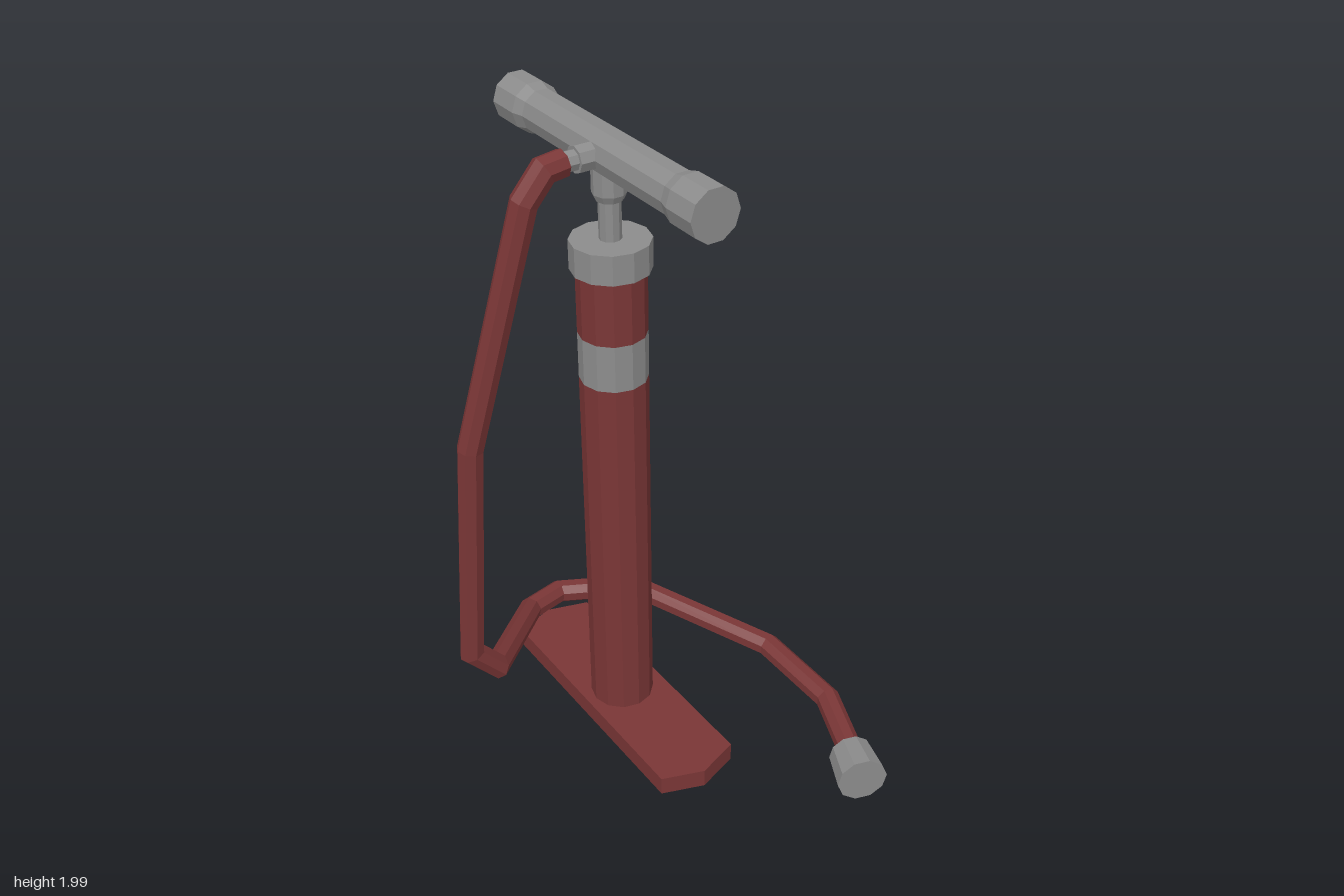
import * as THREE from 'three';

const red = new THREE.MeshStandardMaterial({ color: 0x7a3636 });
red.name = 'dark red';
const grey = new THREE.MeshStandardMaterial({ color: 0x8c8c8c });
grey.name = 'grey';

// Faceted mesh: unshared vertices give flat normals
function part(name, geometry, material, parent) {
  const g = geometry.index ? geometry.toNonIndexed() : geometry;
  g.computeVertexNormals();
  const mesh = new THREE.Mesh(g, material);
  mesh.name = name;
  parent.add(mesh);
  return mesh;
}

// Upright cylinder between two heights
function column(name, y0, y1, r0, r1, sides, material, parent) {
  const g = new THREE.CylinderGeometry(r1, r0, y1 - y0, sides);
  g.translate(0, (y0 + y1) / 2, 0);
  return part(name, g, material, parent);
}

// Cylinder between two points
function rod(name, a, b, ra, rb, sides, material, parent) {
  const dir = b.clone().sub(a);
  const g = new THREE.CylinderGeometry(rb, ra, dir.length(), sides);
  g.applyQuaternion(new THREE.Quaternion().setFromUnitVectors(new THREE.Vector3(0, 1, 0), dir.normalize()));
  g.translate((a.x + b.x) / 2, (a.y + b.y) / 2, (a.z + b.z) / 2);
  return part(name, g, material, parent);
}

// Straight-sided tube with mitred corners along a polyline
function mitredTube(points, radius, sides) {
  const dirs = points.slice(1).map((p, i) => p.clone().sub(points[i]).normalize());
  const last = points.length - 1;
  const u = new THREE.Vector3(0, 1, 0).cross(dirs[0]).normalize();
  const v = dirs[0].clone().cross(u);
  let ring = [];
  for (let j = 0; j < sides; j++) {
    const a = (j / sides) * Math.PI * 2;
    ring.push(points[0].clone().addScaledVector(u, radius * Math.cos(a)).addScaledVector(v, radius * Math.sin(a)));
  }
  const pos = [];
  const tri = (...ps) => ps.forEach((p) => pos.push(p.x, p.y, p.z));
  for (let j = 0; j < sides; j++) tri(points[0], ring[(j + 1) % sides], ring[j]);
  for (let i = 1; i <= last; i++) {
    const d = dirs[i - 1];
    const n = d.clone().add(dirs[Math.min(i, last - 1)]).normalize();
    // slide the ring along the segment onto the mitre plane
    const next = ring.map((p) => p.clone().addScaledVector(d, points[i].clone().sub(p).dot(n) / d.dot(n)));
    for (let j = 0; j < sides; j++) {
      const k = (j + 1) % sides;
      tri(ring[j], ring[k], next[k]);
      tri(ring[j], next[k], next[j]);
    }
    ring = next;
  }
  for (let j = 0; j < sides; j++) tri(points[last], ring[j], ring[(j + 1) % sides]);
  const g = new THREE.BufferGeometry();
  g.setAttribute('position', new THREE.Float32BufferAttribute(pos, 3));
  return g;
}

const V = (x, y, z) => new THREE.Vector3(x, y, z);

export function createModel() {
  const model = new THREE.Group();
  model.name = 'floorPump';

  // Pump body, turned a little about its own axis
  const pump = new THREE.Group();
  pump.name = 'pump';
  pump.position.set(-0.165, 0, 0.055);
  pump.rotation.y = -0.333;
  model.add(pump);

  // Foot plate with pointed ends
  const outline = [[-0.42, -0.13], [0.405, -0.13], [0.45, 0], [0.405, 0.125], [-0.42, 0.125], [-0.46, 0]];
  const foot = new THREE.ExtrudeGeometry(
    new THREE.Shape(outline.map(([x, z]) => new THREE.Vector2(x, z))),
    { depth: 0.06, bevelEnabled: false });
  foot.rotateX(Math.PI / 2);
  foot.translate(0, 0.125, 0);
  part('footPlate', foot, red, pump);

  // Barrel with a band, cap, and plunger rod
  column('lowerBarrel', 0.12, 1.275, 0.097, 0.097, 12, red, pump);
  column('barrelBand', 1.275, 1.415, 0.097, 0.097, 12, grey, pump);
  column('upperBarrel', 1.415, 1.61, 0.097, 0.097, 12, red, pump);
  column('barrelCap', 1.605, 1.69, 0.112, 0.112, 12, grey, pump);
  column('plungerRod', 1.68, 1.83, 0.031, 0.031, 10, grey, pump);
  column('collarTaper', 1.80, 1.82, 0.038, 0.047, 10, grey, pump);
  column('collar', 1.82, 1.9, 0.047, 0.047, 10, grey, pump);

  // Handle with thicker grip ends
  const profile = [[0, -0.462], [0.072, -0.462], [0.072, -0.36], [0.062, -0.325],
    [0.062, 0.325], [0.072, 0.36], [0.072, 0.462], [0, 0.462]];
  const handle = new THREE.LatheGeometry(profile.map(([r, y]) => new THREE.Vector2(r, y)), 10);
  handle.rotateZ(Math.PI / 2);
  handle.translate(0, 1.93, 0);
  part('handle', handle, grey, pump);

  // Hose outlet at the front of the handle
  rod('hoseOutlet', V(0, 1.93, 0.04), V(0, 1.93, 0.15), 0.028, 0.028, 8, grey, pump);
  rod('outletCollar', V(0, 1.93, 0.05), V(0, 1.93, 0.1), 0.037, 0.037, 8, grey, pump);

  // Hose, down to the floor and round the back
  const path = [
    V(-0.21, 1.93, 0.18), V(-0.225, 1.925, 0.235), V(-0.252, 1.85, 0.285),
    V(-0.39, 1.13, 0.408), V(-0.455, 0.37, 0.412), V(-0.43, 0.275, 0.335),
    V(-0.635, 0.145, -0.05), V(-0.627, 0.135, -0.185), V(-0.46, 0.11, -0.385),
    V(0.083, 0.1, -0.41), V(0.37, 0.09, -0.317), V(0.56, 0.08, -0.155),
  ];
  part('hose', mitredTube(path, 0.038, 8), red, model);

  // Nozzle at the free end
  rod('nozzle', V(0.548, 0.08, -0.16), V(0.638, 0.08, -0.083), 0.066, 0.077, 10, grey, model);

  return model;
}
